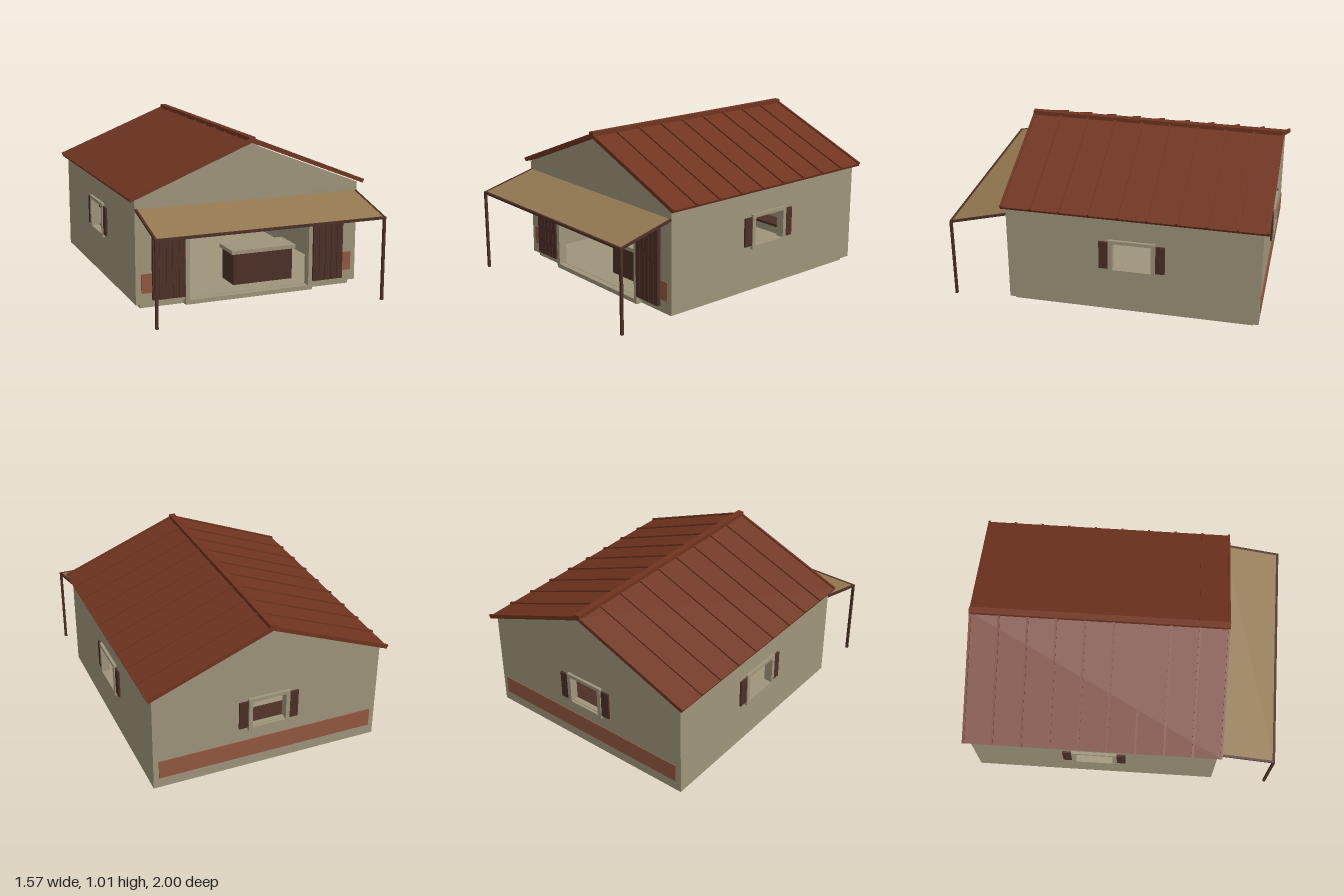
import * as THREE from 'three';

const paint = (name, color) => Object.assign(new THREE.MeshStandardMaterial({ color }), { name });

export function createModel() {
  const wall = paint('plaster', 0x9f957a);
  const roofRed = paint('roof red', 0x70341f);
  const darkWood = paint('dark wood', 0x4c2f26);
  const canvas = paint('awning tan', 0x937850);
  const brick = paint('brick band', 0x925840);

  const model = new THREE.Group();
  const add = (parent, name, geo, mat) => {
    const mesh = new THREE.Mesh(geo, mat);
    mesh.name = name;
    parent.add(mesh);
    return mesh;
  };
  // Box given by its limits on each axis
  const box = (parent, name, mat, x0, x1, y0, y1, z0, z1) => {
    const geo = new THREE.BoxGeometry(x1 - x0, y1 - y0, z1 - z0);
    geo.translate((x0 + x1) / 2, (y0 + y1) / 2, (z0 + z1) / 2);
    return add(parent, name, geo, mat);
  };
  const rect = (x0, x1, y0, y1, Type = THREE.Shape) =>
    new Type([[x0, y0], [x1, y0], [x1, y1], [x0, y1]].map(p => new THREE.Vector2(...p)));
  // Rectangular panel with one rectangular opening
  const panel = (outer, hole, depth) => {
    const shape = rect(...outer);
    shape.holes.push(rect(...hole, THREE.Path));
    return new THREE.ExtrudeGeometry(shape, { depth, bevelEnabled: false });
  };

  const T = 0.035, X = 0.745, FRONT = 0.625, BACK = -0.965, EAVE = 0.665;

  // Base slab with the floor on top
  box(model, 'baseSlab', wall, -0.71, 0.71, 0, 0.03, -0.93, 0.6);

  // Long side walls
  for (const s of [-1, 1]) {
    const geo = panel([-FRONT, -BACK, 0.03, EAVE], [0.047, 0.293, 0.315, 0.5], T);
    geo.rotateY(Math.PI / 2);
    geo.translate(s > 0 ? X - T : -X, 0, 0);
    add(model, 'sideWall', geo, wall);
  }

  // Back wall with window, front wall with wide shop opening
  const inner = X - T;
  add(model, 'backWall', panel([-inner, inner, 0.03, EAVE], [-0.11, 0.11, 0.32, 0.5], T), wall)
    .position.z = BACK;
  for (const s of [-1, 1]) {
    box(model, 'frontWall', wall, s > 0 ? 0.42 : -inner, s > 0 ? inner : -0.42, 0.03, EAVE, FRONT - T, FRONT);
  }
  box(model, 'frontLintel', wall, -0.42, 0.42, 0.57, EAVE, FRONT - T, FRONT);

  // Gables
  const gable = new THREE.Shape([[-X, EAVE], [X, EAVE], [X, 0.678], [0, 0.972], [-X, 0.678]]
    .map(p => new THREE.Vector2(...p)));
  for (const z of [BACK, FRONT - T]) {
    add(model, 'gable', new THREE.ExtrudeGeometry(gable, { depth: T, bevelEnabled: false }), wall).position.z = z;
  }

  // Brick bands
  box(model, 'backBrickBand', brick, -inner, inner, 0.1, 0.22, BACK - 0.006, BACK);
  for (const s of [-1, 1]) {
    const x0 = s > 0 ? 0.43 : -inner;
    box(model, 'frontBrickBand', brick, x0, x0 + inner - 0.43, 0.1, 0.22, FRONT, FRONT + 0.006);
  }

  // Shop opening frame
  add(model, 'openingFrame', panel([-0.43, 0.43, 0, 0.585], [-0.403, 0.403, 0.028, 0.555], 0.055), wall)
    .position.z = FRONT - 0.038;

  // Boarded doors folded open on either side
  for (const s of [-1, 1]) {
    const door = new THREE.Group();
    door.name = 'boardedDoor';
    door.position.x = s * 0.538;
    model.add(door);
    box(door, 'doorPanel', darkWood, -0.104, 0.104, 0.055, 0.555, FRONT, 0.643);
    for (let i = 0; i < 5; i++) {
      const x = -0.104 + i * 0.0425;
      box(door, 'doorBoard', darkWood, x, x + 0.038, 0.055, 0.555, 0.643, 0.65);
    }
  }

  // Windows with shutters, built facing +z about the opening's centre
  const addWindow = (w, x, z, turn) => {
    const win = new THREE.Group();
    win.name = 'window';
    win.position.set(x, 0.409, z);
    win.rotation.y = turn;
    model.add(win);
    const h = w / 2, o = h + 0.026;
    add(win, 'windowFrame', panel([-o, o, -0.114, 0.113], [-h, h, -0.092, 0.091], 0.055), wall)
      .position.z = -0.037;
    for (const s of [-1, 1]) {
      const c = s * (o + 0.03);
      box(win, 'shutter', darkWood, c - 0.029, c + 0.029, -0.09, 0.096, 0, 0.012);
    }
  };
  addWindow(0.243, X, -0.17, Math.PI / 2);
  addWindow(0.243, -X, -0.17, -Math.PI / 2);
  addWindow(0.22, 0, BACK, Math.PI);

  // Shelves along the back wall, the top one broken by the window
  const z0 = BACK + T, z1 = z0 + 0.13;
  for (const y of [0.148, 0.313]) box(model, 'shelf', darkWood, -0.55, 0.55, y - 0.009, y + 0.009, z0, z1);
  for (const s of [-1, 1]) {
    const x0 = s > 0 ? 0.11 : -0.55;
    box(model, 'topShelf', darkWood, x0, x0 + 0.44, 0.465, 0.483, z0, z1);
  }

  // Counter
  box(model, 'counter', darkWood, -0.042, 0.372, 0.03, 0.235, 0.28, 0.465);
  box(model, 'counterTop', wall, -0.057, 0.39, 0.235, 0.26, 0.265, 0.48);

  // Roof slopes with raised seams
  const slope = Math.atan(0.394), L = 0.833;
  for (const s of [-1, 1]) {
    const side = new THREE.Group();
    side.name = 'roofSlope';
    side.position.y = 0.978;
    side.rotation.z = -s * slope;
    model.add(side);
    const a = s > 0 ? 0 : -L, b = s > 0 ? L : 0;
    box(side, 'roofPanel', roofRed, a, b, 0, 0.016, -0.998, 0.648);
    for (let i = 0; i < 10; i++) {
      const z = -0.992 + i * 0.1816;
      box(side, 'roofSeam', roofRed, a, b, 0.014, 0.026, z - 0.007, z + 0.007);
    }
  }
  box(model, 'ridgeCap', roofRed, -0.02, 0.02, 0.978, 1.014, -1, 0.65);

  // Sloping awning with edge beams, front rail and posts
  const rise = 0.095, run = 0.37;
  const awning = new THREE.Group();
  awning.name = 'awning';
  awning.position.set(0, 0.523, 0.993);
  awning.rotation.x = Math.atan(rise / run);
  model.add(awning);
  const len = Math.hypot(rise, run);
  box(awning, 'awningSheet', canvas, -0.73, 0.73, -0.003, 0.005, -len, 0);
  for (const s of [-1, 1]) {
    box(awning, 'awningBeam', darkWood, s * 0.736 - 0.007, s * 0.736 + 0.007, -0.006, 0.007, -len, 0);
    box(model, 'awningPost', darkWood, s * 0.736 - 0.008, s * 0.736 + 0.008, 0, 0.525, 0.984, 1);
  }
  box(model, 'awningRail', darkWood, -0.744, 0.744, 0.516, 0.531, 0.984, 1);

  return model;
}
